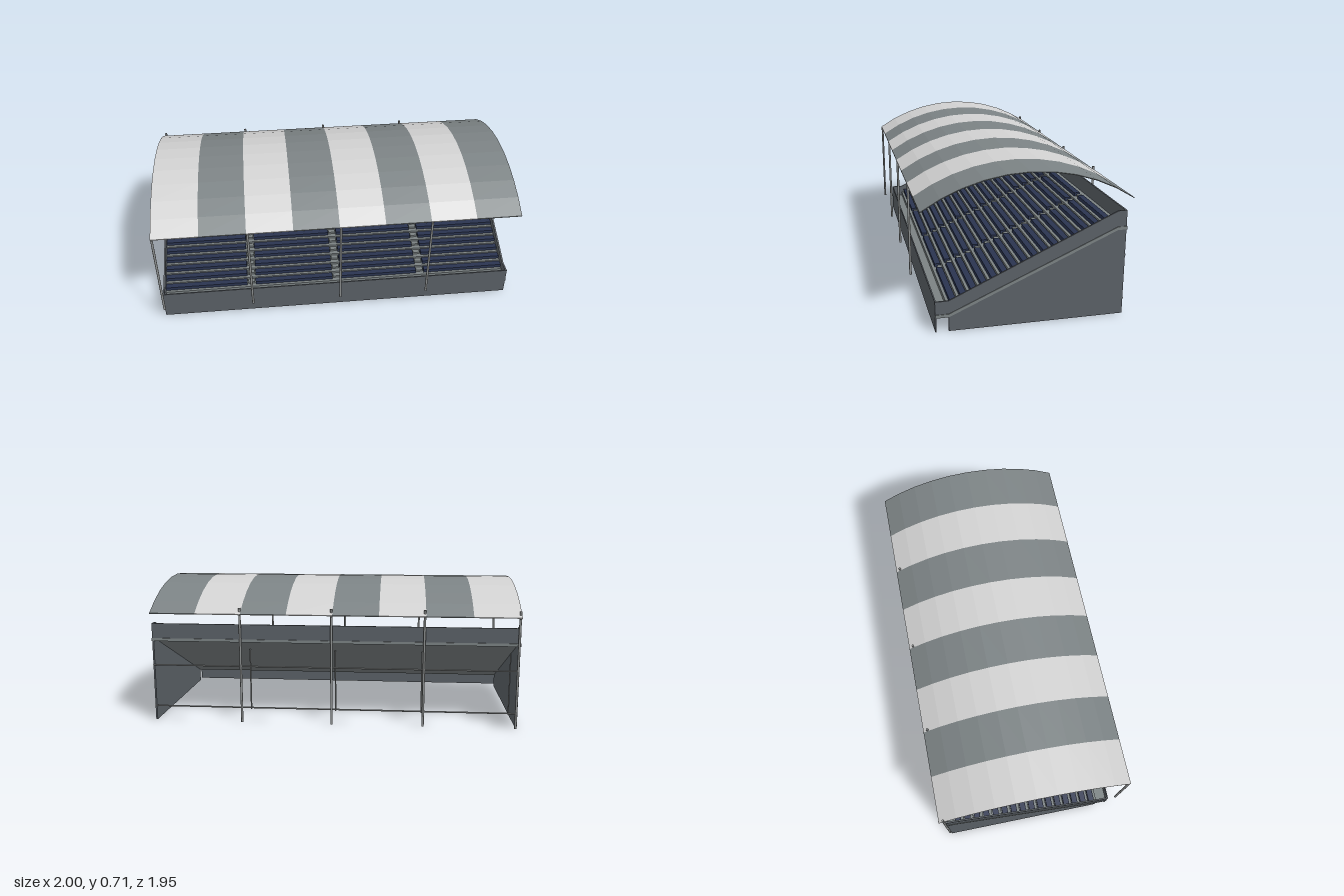
import * as THREE from 'three';

const mat = (name, color, extra = {}) => {
  const m = new THREE.MeshStandardMaterial({ color, ...extra });
  m.name = name;
  return m;
};

export function createModel() {
  const wall = mat('wall slate', 0x5a6066);
  const concrete = mat('concrete grey', 0x7b8283);
  const seatBlue = mat('seat navy', 0x2a3450);
  const steel = mat('steel grey', 0x8f9292);
  const roofLight = mat('roof light', 0xd2d2d2, { side: THREE.DoubleSide, flatShading: true });
  const roofDark = mat('roof grey', 0x7c8385, { side: THREE.DoubleSide, flatShading: true });

  const model = new THREE.Group();
  const stand = new THREE.Group();
  stand.name = 'grandstand';
  stand.rotation.y = -0.741;
  model.add(stand);

  const add = (name, geo, material, x = 0, y = 0, z = 0) => {
    const m = new THREE.Mesh(geo, material);
    m.name = name;
    m.position.set(x, y, z);
    stand.add(m);
    return m;
  };
  const box = (name, material, w, h, d, x, y, z) =>
    add(name, new THREE.BoxGeometry(w, h, d), material, x, y, z);
  // Extrude a [z, y] side profile along x, centred on x
  const prism = (name, profile, width, material, x = 0) => {
    const shape = new THREE.Shape(profile.map(p => new THREE.Vector2(p[0], p[1])));
    const geo = new THREE.ExtrudeGeometry(shape, { depth: width, bevelEnabled: false });
    geo.rotateY(-Math.PI / 2).translate(width / 2, 0, 0);
    return add(name, geo, material, x);
  };
  const post = (name, x, z, y0, y1, r = 0.006) =>
    add(name, new THREE.CylinderGeometry(r, r, y1 - y0, 8), steel, x, (y0 + y1) / 2, z);

  const HALF = 0.917, FRONT = 0.425, FOOT = 0.365, HEAD = -0.41, BACK = -0.451;

  // Side walls, with the raised corner ahead of the foot of the slope
  for (const s of [-1, 1]) {
    prism('sideWall', [[BACK, 0], [FOOT, 0], [FOOT, 0.07], [FRONT, 0.07], [FRONT, 0.145],
      [FOOT, 0.145], [HEAD, 0.503], [BACK, 0.503]], 0.008, wall, s * (HALF - 0.004));
  }
  // Front wall and rear parapet; the rear below the parapet is open
  box('frontWall', wall, HALF * 2, 0.145, 0.006, 0, 0.0725, FRONT - 0.002);
  box('rearParapet', wall, HALF * 2, 0.085, 0.008, 0, 0.4605, BACK + 0.004);

  // Sloping slab whose edge shows as a pale ledge on the walls
  prism('slab', [[FRONT, 0.068], [FRONT, 0.083], [FOOT, 0.083], [HEAD, 0.428], [BACK - 0.003, 0.428],
    [BACK - 0.003, 0.413], [HEAD, 0.413], [FOOT, 0.068]], HALF * 2 + 0.006, concrete);

  // Terrace steps
  const ROWS = 16, tread = (FOOT - HEAD) / ROWS, rise = 0.345 / ROWS;
  const steps = [[FOOT, 0.075]];
  for (let i = 0; i < ROWS; i++) {
    const z = FOOT - i * tread, y = 0.083 + (i + 1) * rise;
    steps.push([z, y], [z - tread, y]);
  }
  steps.push([HEAD, 0.42]);
  prism('terraceSteps', steps, HALF * 2 - 0.016, concrete);

  // Benches in four blocks with stepped aisles between
  const aisles = [-0.457, 0, 0.457];
  const edges = [-0.93, ...aisles, 0.93];
  for (let i = 0; i < ROWS; i++) {
    const z = FOOT - (i + 0.6) * tread, y = 0.083 + (i + 1) * rise;
    for (let b = 0; b < 4; b++) {
      const x0 = edges[b] + 0.022, x1 = edges[b + 1] - 0.022;
      box('seatRow', seatBlue, x1 - x0, 0.018, 0.03, (x0 + x1) / 2, y + 0.009, z);
    }
    for (const x of aisles) {
      box('aisleStep', concrete, 0.036, rise / 2, tread / 2, x, y + rise / 4, FOOT - (i + 0.75) * tread);
    }
  }

  // Arched roof profile
  const SPAN = 0.4815, EAVE = 0.56, SAG = 0.147, R = (SPAN * SPAN + SAG * SAG) / (2 * SAG);
  const SEG = 10, A = Math.asin(SPAN / R);
  const arch = (t, drop = 0) => {
    const a = A * (1 - 2 * t);
    return [R * Math.sin(a), EAVE + SAG - R + R * Math.cos(a) - drop];
  };
  const outline = [];
  for (let i = 0; i <= SEG; i++) outline.push(arch(i / SEG));
  for (let i = SEG; i >= 0; i--) outline.push(arch(i / SEG, 0.004));

  // Eight roof stripes
  const stripe = 1.83 / 8;
  for (let i = 0; i < 8; i++) {
    prism('roofStripe', outline, stripe, i % 2 ? roofDark : roofLight, -0.915 + (i + 0.5) * stripe);
  }

  // Frames: roof arch, front and rear columns, inner prop
  const archPoints = x => Array.from({ length: SEG + 1 }, (_, i) => {
    const [z, y] = arch(i / SEG, 0.01);
    return new THREE.Vector3(x, y, z);
  });
  for (let k = 0; k < 4; k++) {
    const x = -0.909 + k * 0.4575;
    const curve = new THREE.CatmullRomCurve3(archPoints(x));
    add('roofArch', new THREE.TubeGeometry(curve, 20, 0.005, 6), steel);
    post('frontColumn', x, 0.476, 0.09, 0.56);
    post('rearColumn', x, -0.46, 0, 0.588);
    post('innerProp', x, -0.226, 0, 0.335, 0.004);
  }

  // Rear rails
  for (const y of [0.075, 0.29]) {
    const rail = add('rearRail', new THREE.CylinderGeometry(0.004, 0.004, HALF * 2, 8), steel, 0, y, BACK);
    rail.rotation.z = Math.PI / 2;
  }
  return model;
}
